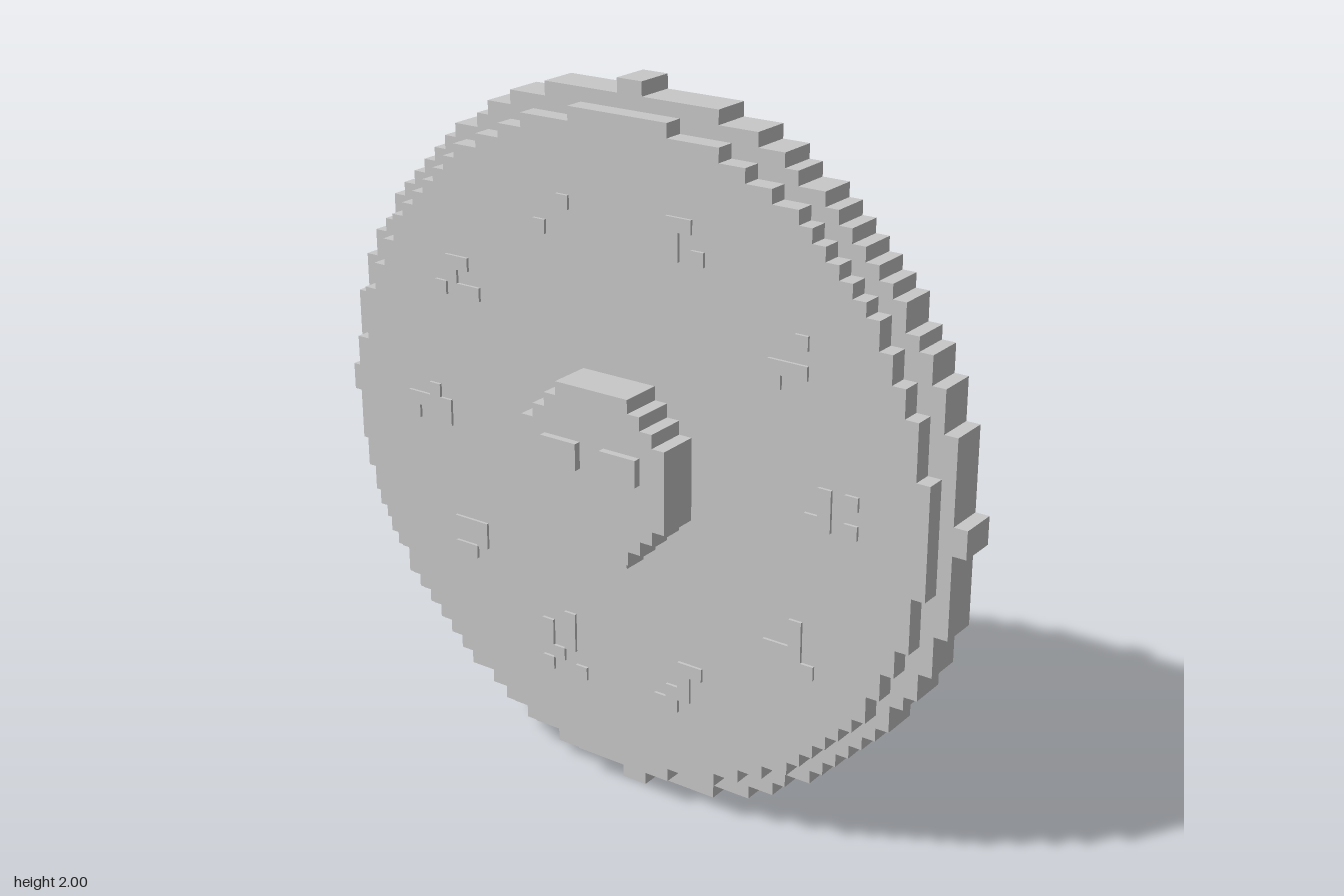
import * as THREE from 'three';

const U = 1 / 26; // size of one block
const grey = new THREE.MeshStandardMaterial({ color: 0xc8c8c8 });
grey.name = 'light stone grey';

// Half-widths (in blocks) of every row of a stepped disc, top to bottom.
// 'upper' lists the rows from the top to the diagonal; the rest follows by symmetry.
function discRows(radius, upper) {
  const half = [];
  for (let row = radius; row >= 1; row--) {
    const k = radius - row;
    half.push(k < upper.length ? upper[k] : radius - upper.findIndex((w) => w >= row));
  }
  return [...half, ...half.slice().reverse()];
}

// Stepped outline from row half-widths, starting at height 'top' (in blocks)
function outline(rows, top) {
  const side = [];
  rows.forEach((w, i) => {
    if (i === 0 || rows[i - 1] !== w) side.push([w, top - i]);
    if (i === rows.length - 1 || rows[i + 1] !== w) side.push([w, top - i - 1]);
  });
  const left = side.map(([w, y]) => [-w, y]);
  return [...left, ...side.reverse()].map(([x, y]) => new THREE.Vector2(x * U, 1 + y * U));
}

function slab(name, points, z0, z1, hole) {
  const shape = new THREE.Shape(points);
  if (hole) shape.holes.push(new THREE.Path(hole));
  const geo = new THREE.ExtrudeGeometry(shape, { depth: z1 - z0, bevelEnabled: false });
  geo.translate(0, 0, z0);
  const mesh = new THREE.Mesh(geo, grey);
  mesh.name = name;
  return mesh;
}

// Box given by its lower and upper corners
function box(name, x0, x1, y0, y1, z0, z1) {
  const mesh = new THREE.Mesh(new THREE.BoxGeometry(x1 - x0, y1 - y0, z1 - z0), grey);
  mesh.position.set((x0 + x1) / 2, (y0 + y1) / 2, (z0 + z1) / 2);
  mesh.name = name;
  return mesh;
}

// Raised marks around the face, as [column, row] blocks from the centre
const MARKS = [
  [[-7, 15], [-5, 17]],
  [[4, 17], [5, 17], [4, 16], [4, 15], [6, 15]],
  [[-16, 9], [-15, 11], [-14, 11], [-15, 10], [-14, 9], [-13, 9]],
  [[-17, 1], [-19, 0], [-18, 0], [-17, 0], [-16, 0], [-19, -1], [-16, -1]],
  [[-15, -9], [-14, -9], [-13, -9], [-13, -10], [-15, -11], [-14, -11]],
  [[-5, -14], [-5, -15], [-5, -16], [-7, -15], [-7, -16], [-6, -17], [-7, -18], [-4, -18]],
  [[5, -15], [6, -15], [5, -16], [4, -17], [3, -18], [4, -18], [5, -17]],
  [[14, -9], [14, -10], [14, -11], [13, -11], [12, -11], [15, -12]],
  [[16, 1], [16, 0], [16, -1], [15, -1], [18, 1], [18, -1]],
  [[14, 11], [14, 9], [13, 9], [12, 9], [12, 8]],
];

export function createModel() {
  const model = new THREE.Group();
  model.name = 'roundShield';

  // Rim, open at the back, and face plate
  const rim = outline(discRows(26, [1, 7, 10, 12, 13, 15, 16, 17, 18]), 26);
  const rimOpening = outline(discRows(23, [4, 8, 10, 12, 13, 15, 16]), 23);
  const face = outline(discRows(24, [4, 8, 10, 12, 14, 15, 16, 17]), 24);
  model.add(slab('rim', rim, 0.075, 0.185, rimOpening));
  model.add(slab('facePlate', face, 0.084, 0.24));

  // Central boss with its chin and two raised eye plates
  model.add(slab('boss', outline([3, 4, 5, 6, 6, 6, 6, 6, 6, 5, 4, 3], 6), 0.23, 0.36));
  model.add(box('chin', -2 * U, 2 * U, 1 - 7 * U, 1 - 6 * U, 0.23, 0.315));
  for (const s of [-1, 1]) {
    const eye = box('eyePlate', -0.0575, 0.0575, 1.005, 1.08, 0.35, 0.38);
    eye.position.x = s * 0.096;
    model.add(eye);
  }

  // Raised marks
  MARKS.forEach((cells) => {
    const mark = new THREE.Group();
    mark.name = 'raisedMark';
    for (const [c, r] of cells) {
      mark.add(box('markBlock', c * U, (c + 1) * U, 1 + r * U, 1 + (r + 1) * U, 0.239, 0.248));
    }
    model.add(mark);
  });

  // Grip at the back
  const grip = new THREE.Group();
  grip.name = 'grip';
  grip.add(box('gripBar', -0.077, 0.077, 0.77, 1.23, -0.38, -0.285));
  grip.add(box('gripUpperArm', -0.077, 0.077, 1.155, 1.23, -0.285, 0.09));
  grip.add(box('gripLowerArm', -0.077, 0.077, 0.77, 0.845, -0.285, 0.09));
  model.add(grip);

  return model;
}
